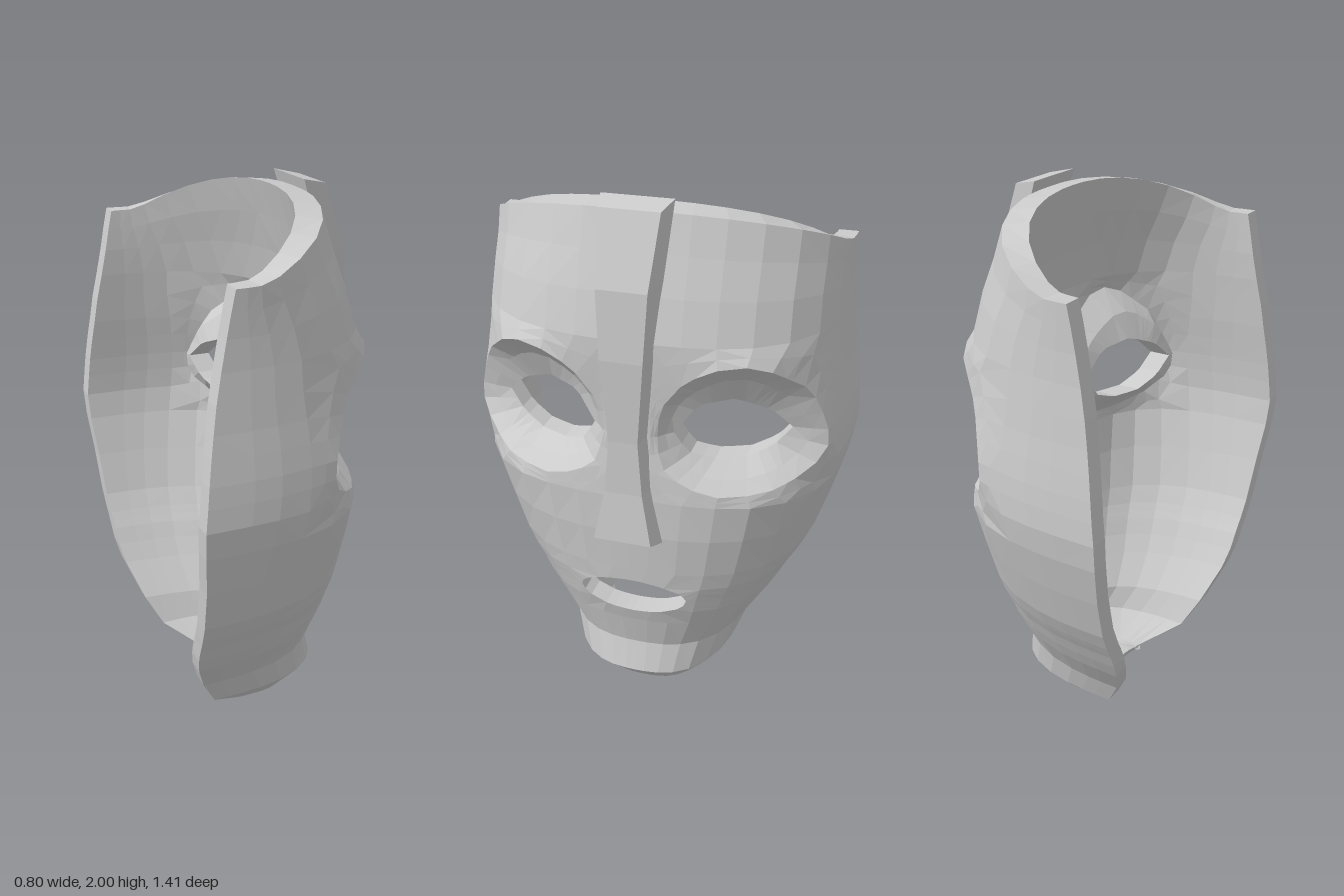
import * as THREE from 'three';

// Face sections, chin to brow: [y, half width, back x, front x, drop of y toward the sides, inner lift]
const ROWS = [
  [0.02, 0.16, -0.09, -0.06, 0, 0.03], [0, 0.18, -0.08, 0.05, -0.025, 0.05],
  [0.02, 0.215, -0.08, 0.16, -0.02, 0.05], [0.13, 0.325, -0.23, 0.27, -0.01, 0.03],
  [0.25, 0.37, -0.29, 0.24, 0, 0], [0.38, 0.46, -0.34, 0.27, 0, 0],
  [0.45, 0.5, -0.355, 0.29, 0, 0], [0.48, 0.515, -0.358, 0.295, 0, 0], [0.51, 0.53, -0.36, 0.3, 0, 0],
  [0.54, 0.548, -0.362, 0.305, 0, 0], [0.57, 0.565, -0.365, 0.31, 0, 0], [0.64, 0.6, -0.37, 0.315, 0, 0],
  [0.8, 0.65, -0.38, 0.325, 0, 0], [0.95, 0.69, -0.395, 0.325, 0, 0],
  [1.05, 0.705, -0.4, 0.32, 0, 0], [1.13, 0.702, -0.392, 0.31, 0, 0], [1.2, 0.697, -0.385, 0.31, 0, 0],
  [1.28, 0.688, -0.375, 0.312, 0, 0], [1.36, 0.678, -0.363, 0.315, 0, 0],
  [1.45, 0.67, -0.35, 0.32, 0, 0], [1.55, 0.66, -0.33, 0.325, 0, 0],
  [1.7, 0.655, -0.31, 0.29, 0.05, 0], [1.83, 0.655, -0.295, 0.25, 0.1, 0.01],
  [1.96, 0.655, -0.28, 0.21, 0.16, 0.012],
];
// Columns from the centre line to the back rim, as a share of the half width
const COLS = [0, 0.11, 0.28, 0.45, 0.62, 0.78, 0.9, 0.965, 0.99, 0.998, 1];

// Outlines as [z, y, x]
const SOCKET = [[0.1, 1.2, 0.3], [0.11, 1.31, 0.31], [0.2, 1.43, 0.32], [0.36, 1.51, 0.317], [0.48, 1.47, 0.25],
  [0.59, 1.37, 0.125], [0.65, 1.22, 0.075], [0.655, 1.12, 0.07], [0.6, 1.05, 0.12], [0.5, 1.01, 0.215],
  [0.35, 0.985, 0.295], [0.2, 1.02, 0.315], [0.11, 1.09, 0.31]];
const EYE = [[0.145, 1.2], [0.22, 1.3], [0.34, 1.32], [0.46, 1.27], [0.53, 1.2], [0.47, 1.13],
  [0.38, 1.09], [0.27, 1.09], [0.19, 1.12]].map(([z, y]) => [z, y, 0.31 - 0.415 * z]);
const MOUTH = Array.from({ length: 32 }, (_, i) => {
  const a = (i / 32) * Math.PI * 2;
  return [0.205 * Math.cos(a), 0.51 + 0.078 * Math.sin(a), 0.3];
});

const lerp = THREE.MathUtils.lerp;
const smoothstep = THREE.MathUtils.smoothstep;

function rowAt(y) {
  let i = 4;
  while (i < ROWS.length - 2 && ROWS[i + 1][0] < y) i++;
  const t = (y - ROWS[i][0]) / (ROWS[i + 1][0] - ROWS[i][0]);
  return ROWS[i].map((v, k) => lerp(v, ROWS[i + 1][k], t));
}

// Superellipse power of a section: boxy at the eyes, rounder at the top
function power([y]) {
  return 2 / (0.78 - 0.18 * Math.exp(-(((y - 1.15) / 0.35) ** 2)) + 0.14 * smoothstep(y, 1.6, 1.96));
}

// Depth of the section at share q of the half width
function depth(row, q) {
  const n = power(row);
  return row[2] + (row[3] - row[2]) * Math.max(0, 1 - Math.min(q, 1) ** n) ** (1 / n);
}

// A matching pair of points on the outer and inner skin; slant 0 offsets straight back
function pair(row, x, y, z, slant = 1) {
  const [, w, back, front, , lift] = row;
  const n = power(row) - 1;
  const f = THREE.MathUtils.clamp((x - back) / (front - back), 0, 1);
  const nx = f ** n / (front - back) + (1 - slant);
  const nz = slant * (z / w) ** n / w;
  const t = Math.min(lerp(0.068, 0.092, f), 0.3 * (front - back)) / Math.hypot(nx, nz);
  return { o: [x, y, z], i: [x - nx * t, y + lift * f, z - nz * t] };
}

// Grid point: the top edge falls and the chin edge climbs with distance from the front
function gridPoint(row, q) {
  const [y, w, back, front, drop] = row;
  const x = depth(row, q);
  return pair(row, x, y - drop * Math.min(1, (front - x) / (front - back) / 0.78), q * w);
}

// Depth of the plain face at z, y
function faceX(z, y) {
  const row = rowAt(y);
  return depth(row, z / row[1]);
}

function place([z, y, x], slant) {
  return pair(rowAt(y), x, y, z, slant);
}

// Where a ray from centre c toward point p crosses a closed outline
function rayHit(outline, c, p) {
  const dz = p[2] - c[0], dy = p[1] - c[1];
  let best = 0, x = 0;
  outline.forEach((a, k) => {
    const b = outline[(k + 1) % outline.length];
    const ez = b[0] - a[0], ey = b[1] - a[1];
    const den = dz * ey - dy * ez;
    if (Math.abs(den) < 1e-9) return;
    const t = ((a[0] - c[0]) * ey - (a[1] - c[1]) * ez) / den;
    const u = ((a[0] - c[0]) * dy - (a[1] - c[1]) * dz) / den;
    if (t > best && u > -1e-6 && u < 1 + 1e-6) { best = t; x = lerp(a[2], b[2], u); }
  });
  return [c[0] + dz * best, c[1] + dy * best, x];
}

function toGeometry(pos) {
  const g = new THREE.BufferGeometry();
  g.setAttribute('position', new THREE.Float32BufferAttribute(pos, 3));
  g.computeVertexNormals();
  return g;
}

function buildFace() {
  const pos = [];
  const dist = (a, b) => Math.hypot(a[0] - b[0], a[1] - b[1], a[2] - b[2]);
  const tri = (...t) => {
    pos.push(...t.flat());
    pos.push(...t.reverse().flatMap((p) => [p[0], p[1], -p[2]]));
  };
  // One quad plus its mirror image, split along the shorter diagonal
  const quad = (a, b, c, d) => {
    if (dist(a, c) <= dist(b, d)) { tri(a, b, c); tri(a, c, d); }
    else { tri(a, b, d); tri(b, c, d); }
  };
  const skin = (a, b, c, d) => { quad(a.o, b.o, c.o, d.o); quad(d.i, c.i, b.i, a.i); };
  const wall = (a, b) => quad(b.o, a.o, a.i, b.i);
  const strip = (A, B) => {
    for (let k = 0; k < A.length - 1; k++) skin(A[k], A[k + 1], B[k + 1], B[k]);
  };
  const holeWall = (B) => { for (let k = 0; k < B.length - 1; k++) wall(B[k + 1], B[k]); };

  const grid = ROWS.map((row) => COLS.map((q) => gridPoint(row, q)));
  const rowIndex = (y) => ROWS.findIndex((r) => r[0] === y);
  const eye = { r0: rowIndex(0.95), r1: rowIndex(1.55), c0: 1, c1: 7 };
  const mouth = { r0: rowIndex(0.38), r1: rowIndex(0.64), c0: 0, c1: 3 };
  const within = (b, i, j) => i >= b.r0 && i < b.r1 && j >= b.c0 && j < b.c1;
  const R = ROWS.length - 1, C = COLS.length - 1;

  // Main skin around the eye and mouth blocks
  for (let i = 0; i < R; i++) {
    for (let j = 0; j < C; j++) {
      if (within(eye, i, j) || within(mouth, i, j)) continue;
      skin(grid[i][j], grid[i + 1][j], grid[i + 1][j + 1], grid[i][j + 1]);
    }
    wall(grid[i + 1][C], grid[i][C]);
  }
  // Top and chin edges
  for (let j = 0; j < C; j++) {
    wall(grid[R][j], grid[R][j + 1]);
    wall(grid[0][j + 1], grid[0][j]);
  }

  const border = (b, closed) => {
    const out = [];
    if (closed) for (let i = b.r0; i < b.r1; i++) out.push(grid[i][b.c0]);
    for (let j = b.c0; j < b.c1; j++) out.push(grid[b.r1][j]);
    for (let i = b.r1; i > b.r0; i--) out.push(grid[i][b.c1]);
    for (let j = b.c1; j > b.c0; j--) out.push(grid[b.r0][j]);
    out.push(grid[b.r0][b.c0]);
    return out;
  };

  // Eye: surrounding skin, raised socket edge, sunken lids, opening
  const eyeEdge = border(eye, true);
  const c = [0.35, 1.2];
  const skirt = [], rim = [], lid = [], hole = [];
  eyeEdge.forEach(({ o }) => {
    const s = rayHit(SOCKET, c, o);
    const h = rayHit(EYE, c, o);
    const sink = lerp(0.4, 0.65, smoothstep(s[1], 1.08, 1.3));
    const z = (o[2] + s[0]) / 2, y = (o[1] + s[1]) / 2;
    skirt.push(place([z, y, faceX(z, y) + (s[2] - faceX(s[0], s[1])) * 0.5]));
    rim.push(place(s));
    lid.push(place([lerp(s[0], h[0], 0.45), lerp(s[1], h[1], 0.45), lerp(s[2], h[2], sink)], 0.5));
    hole.push(place(h, 0));
  });
  [[eyeEdge, skirt], [skirt, rim], [rim, lid], [lid, hole]].forEach(([a, b]) => strip(a, b));
  holeWall(hole);

  // Mouth opening
  const mouthEdge = border(mouth, false);
  const lips = mouthEdge.map(({ o }) => {
    const [z, y] = rayHit(MOUTH, [0, 0.51], o);
    return place([z, y, faceX(z, y)], 0);
  });
  strip(mouthEdge, lips);
  holeWall(lips);
  return toGeometry(pos);
}

// Tapered nose bar lofted from the brow to the tip
function buildNose() {
  // [back y, back x, back half width, front y, front x, front half width]
  const sections = [
    [2.0, 0.19, 0.125, 1.98, 0.28, 0.105], [1.75, 0.27, 0.11, 1.74, 0.37, 0.088],
    [1.5, 0.31, 0.095, 1.5, 0.385, 0.075], [1.2, 0.29, 0.07, 1.2, 0.375, 0.052],
    [1.0, 0.305, 0.085, 1.0, 0.38, 0.068], [0.785, 0.32, 0.125, 0.812, 0.4, 0.105],
  ].map(([by, bx, bw, fy, fx, fw]) => [[bx, by, bw], [fx, fy, fw], [fx, fy, -fw], [bx, by, -bw]]);
  const pos = [];
  const quad = (a, b, d, e) => pos.push(...a, ...b, ...d, ...a, ...d, ...e);
  for (let i = 0; i < sections.length - 1; i++) {
    const A = sections[i], B = sections[i + 1];
    for (let k = 0; k < 4; k++) quad(A[k], B[k], B[(k + 1) % 4], A[(k + 1) % 4]);
  }
  quad(...sections[0]);
  quad(...[...sections[sections.length - 1]].reverse());
  return toGeometry(pos);
}

export function createModel() {
  const group = new THREE.Group();
  group.name = 'mask';
  const material = new THREE.MeshStandardMaterial({ color: 0xcccccc, flatShading: true, side: THREE.DoubleSide });
  const face = new THREE.Mesh(buildFace(), material);
  face.name = 'face';
  const nose = new THREE.Mesh(buildNose(), material);
  nose.name = 'nose';
  group.add(face, nose);
  return group;
}
